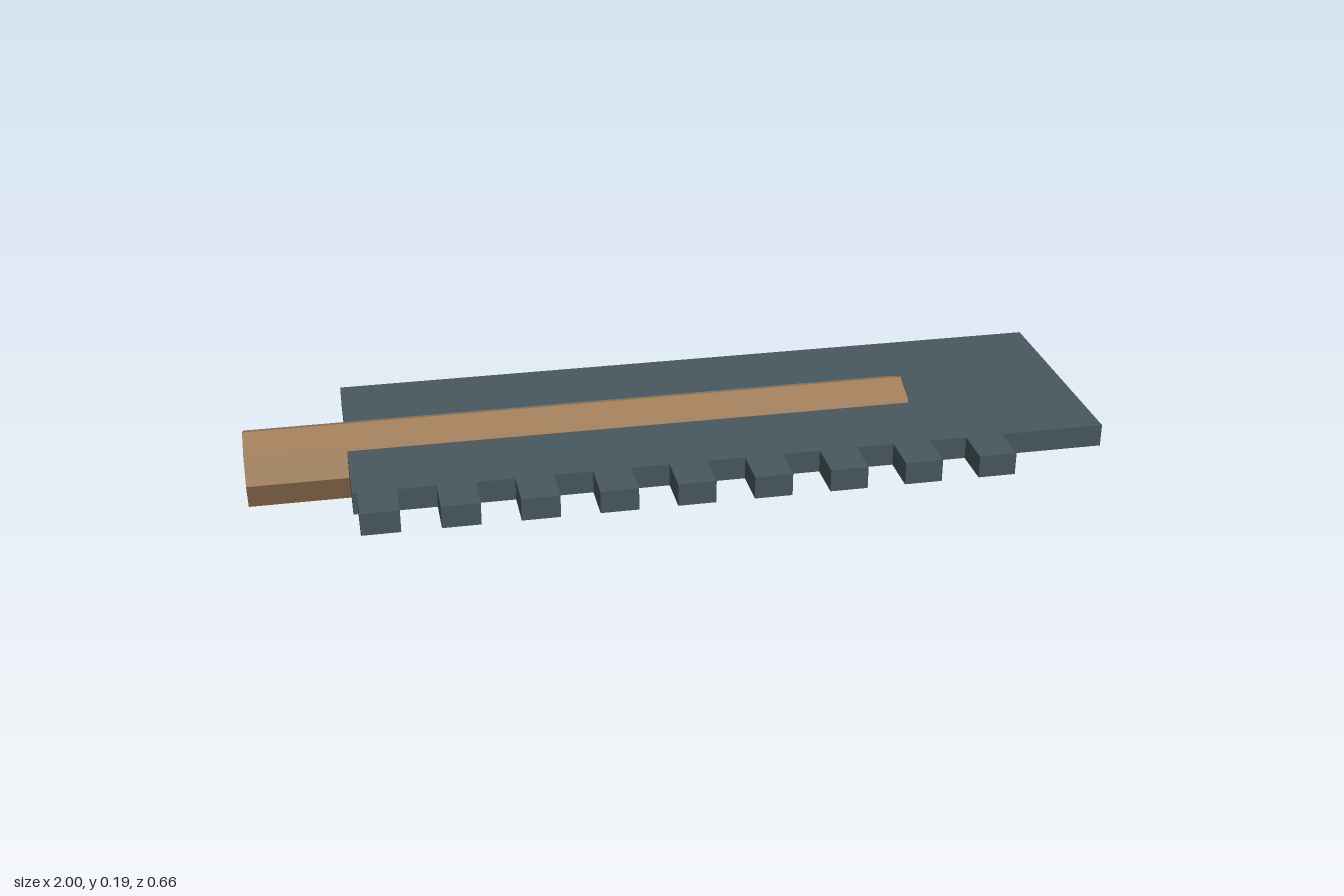
import * as THREE from 'three';

export function createModel() {
  const model = new THREE.Group();
  const wood = new THREE.MeshStandardMaterial({ color: 0xa07d59, flatShading: true });
  wood.name = 'wood';
  const steel = new THREE.MeshStandardMaterial({ color: 0x48585f, flatShading: true });
  steel.name = 'dark steel';

  // Octagonal handle lying along x, running through the blade
  const handle = new THREE.Mesh(new THREE.CylinderGeometry(0.094, 0.094, 1.585, 8), wood);
  handle.name = 'handle';
  handle.rotation.z = Math.PI / 2;
  handle.position.set(-0.2075, 0.095, -0.048);
  model.add(handle);

  // Flat blade with nine square teeth cut along its front edge
  const toothCount = 9, toothWidth = 0.088, pitch = 0.177, firstTooth = -0.754;
  const left = -0.765, right = 1, back = -0.33, root = 0.23, tip = 0.33;
  const outline = new THREE.Shape();
  outline.moveTo(left, back);
  outline.lineTo(left, root);
  for (let i = 0; i < toothCount; i++) {
    const x = firstTooth + i * pitch;
    outline.lineTo(x, root);
    outline.lineTo(x, tip);
    outline.lineTo(x + toothWidth, tip);
    outline.lineTo(x + toothWidth, root);
  }
  outline.lineTo(right, root);
  outline.lineTo(right, back);
  outline.closePath();

  // Shape y becomes z, and the thickness runs downward from the top face
  const bladeGeometry = new THREE.ExtrudeGeometry(outline, { depth: 0.054, bevelEnabled: false });
  bladeGeometry.rotateX(Math.PI / 2);
  const blade = new THREE.Mesh(bladeGeometry, steel);
  blade.name = 'toothedBlade';
  blade.position.y = 0.152;
  model.add(blade);

  return model;
}
